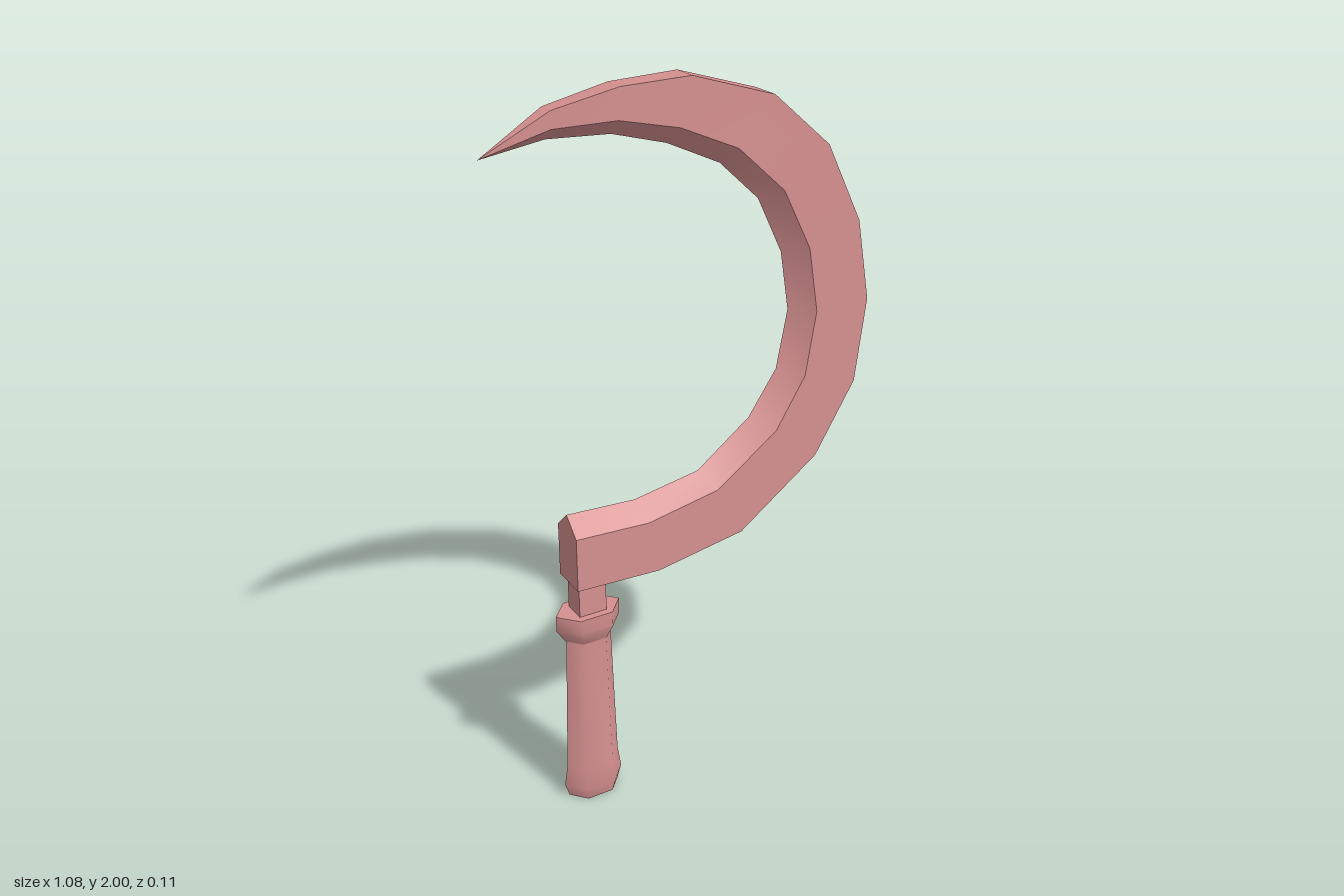
import * as THREE from 'three';
import { toCreasedNormals } from 'three/addons/utils/BufferGeometryUtils.js';

const material = new THREE.MeshStandardMaterial({ color: 0xd69090 });

// Blade stations: outer x, y, bevel x, y, cutting edge x, y, half thickness
const stations = [
  [-0.355, 0.70, -0.355, 0.855, -0.355, 0.905, 0.053],
  [-0.11, 0.69, -0.14, 0.845, -0.155, 0.895, 0.053],
  [0.15, 0.735, 0.07, 0.885, 0.04, 0.93, 0.053],
  [0.39, 0.91, 0.255, 1.015, 0.20, 1.05, 0.053],
  [0.51, 1.11, 0.345, 1.16, 0.285, 1.175, 0.053],
  [0.54, 1.345, 0.375, 1.34, 0.317, 1.34, 0.053],
  [0.50, 1.57, 0.345, 1.52, 0.29, 1.505, 0.052],
  [0.395, 1.785, 0.263, 1.685, 0.215, 1.66, 0.049],
  [0.23, 1.93, 0.128, 1.81, 0.10, 1.768, 0.044],
  [0.00, 2.0, -0.032, 1.88, -0.05, 1.838, 0.036],
  [-0.19, 1.995, -0.195, 1.917, -0.20, 1.88, 0.030],
  [-0.365, 1.96, -0.365, 1.917, -0.37, 1.89, 0.023],
];
const tip = [-0.54, 1.865, 0];

// Five-sided sections swept along the crescent, closing to a point
function bladeGeometry() {
  const positions = [], index = [];
  for (const [ox, oy, bx, by, ex, ey, w] of stations) {
    positions.push(ox, oy, w, bx, by, w, ex, ey, 0, bx, by, -w, ox, oy, -w);
  }
  positions.push(...tip);
  const last = stations.length - 1, tipIndex = stations.length * 5;
  for (let i = 0; i <= last; i++) {
    for (let k = 0; k < 5; k++) {
      const a = i * 5 + k, b = i * 5 + (k + 1) % 5;
      if (i === last) index.push(a, tipIndex, b);
      else index.push(a, a + 5, b + 5, a, b + 5, b);
    }
  }
  index.push(0, 1, 2, 0, 2, 3, 0, 3, 4); // heel cap
  const geometry = new THREE.BufferGeometry();
  geometry.setAttribute('position', new THREE.Float32BufferAttribute(positions, 3));
  geometry.setIndex(index);
  return toCreasedNormals(geometry, 0.6);
}

// Six-sided turned part, flattened front to back
function hexTurned(profile) {
  const points = profile.map(([r, y]) => new THREE.Vector2(r, y));
  const geometry = new THREE.LatheGeometry(points, 6, Math.PI / 2);
  geometry.scale(1, 1, 0.645);
  return toCreasedNormals(geometry, 0.9);
}

export function createModel() {
  const group = new THREE.Group();
  const add = (name, geometry, x = 0, y = 0) => {
    const mesh = new THREE.Mesh(geometry, material);
    mesh.name = name;
    mesh.position.set(x, y, 0);
    group.add(mesh);
  };
  const handleX = -0.303;

  add('blade', bladeGeometry());
  add('tang', new THREE.BoxGeometry(0.08, 0.14, 0.066), handleX, 0.64);
  add('handle', hexTurned([[0, 0], [0.077, 0], [0.09, 0.04], [0.08, 0.105], [0.067, 0.53], [0, 0.53]]), handleX);
  add('collar', hexTurned([[0, 0.52], [0.07, 0.52], [0.095, 0.56], [0.095, 0.605], [0, 0.605]]), handleX);
  return group;
}
